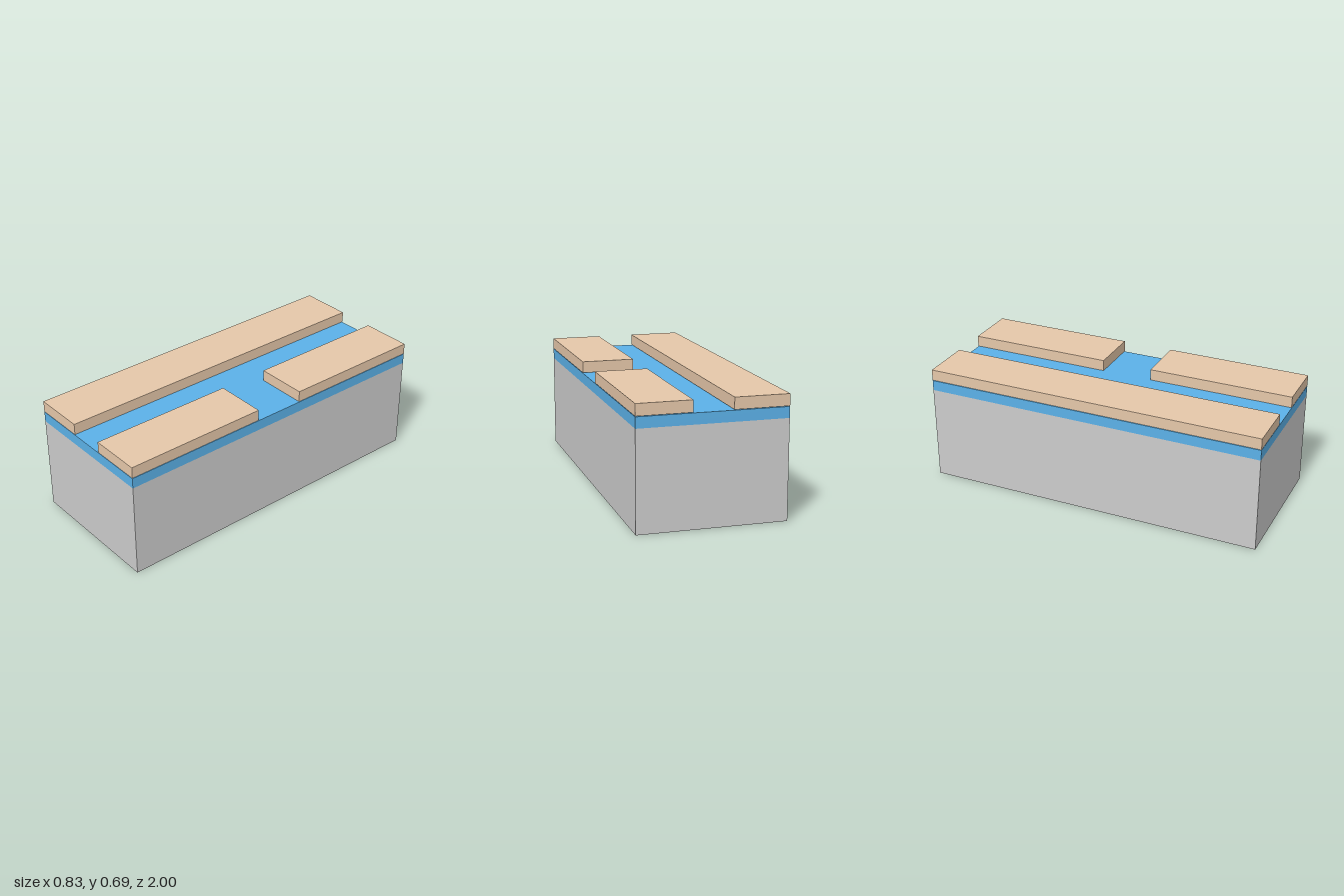
import * as THREE from 'three';

export function createModel() {
  const model = new THREE.Group();
  const grey = new THREE.MeshStandardMaterial({ color: 0xcccccc });
  const blue = new THREE.MeshStandardMaterial({ color: 0x5bb1e8 });
  const tan = new THREE.MeshStandardMaterial({ color: 0xe5c7a9 });

  // Box given by its lower and upper limits on each axis
  function slab(name, material, [x0, x1], [y0, y1], [z0, z1]) {
    const mesh = new THREE.Mesh(new THREE.BoxGeometry(x1 - x0, y1 - y0, z1 - z0), material);
    mesh.position.set((x0 + x1) / 2, (y0 + y1) / 2, (z0 + z1) / 2);
    mesh.name = name;
    model.add(mesh);
  }

  const W = 0.414, channel = 0.11, gap = 0.15;
  const padY = [0.622, 0.687];

  // Thick base with a thin layer on top
  slab('base', grey, [-W, W], [0, 0.558], [-1, 1]);
  slab('topLayer', blue, [-W, W], [0.558, 0.619], [-1, 1]);

  // One full-length strip, and two shorter ones leaving a side gap
  slab('longStrip', tan, [-W, -channel], padY, [-1, 1]);
  slab('frontStrip', tan, [channel, W], padY, [gap, 1]);
  slab('backStrip', tan, [channel, W], padY, [-1, -gap]);

  return model;
}
